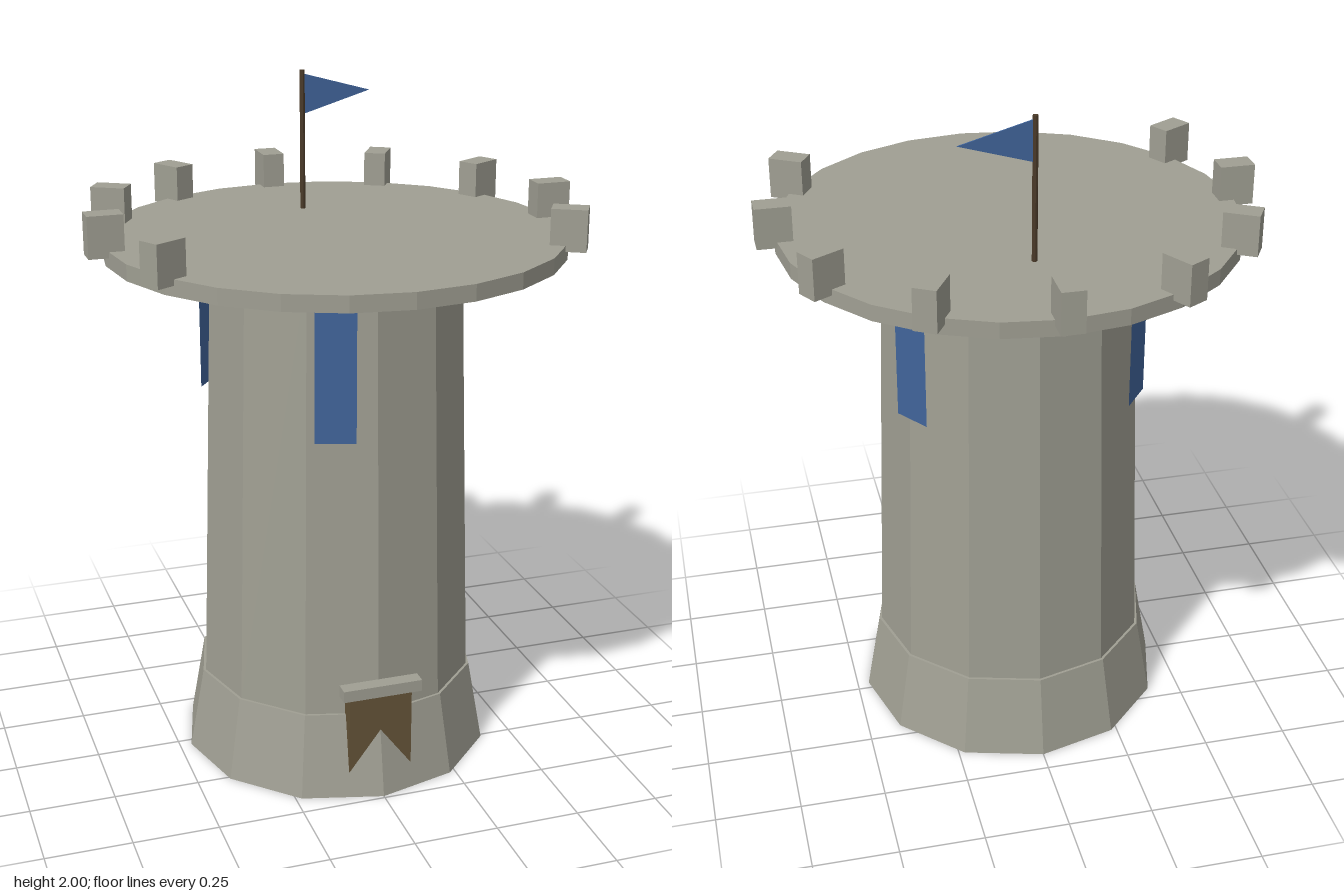
import * as THREE from 'three';

export function createModel() {
  const model = new THREE.Group();
  const mat = (name, color, extra = {}) => {
    const m = new THREE.MeshStandardMaterial({ color, flatShading: true, ...extra });
    m.name = name;
    return m;
  };
  const stone = mat('stone', 0xa09f93);
  const blue = mat('blue cloth', 0x41659b, { side: THREE.DoubleSide });
  const brown = mat('brown cloth', 0x645338);
  const wood = mat('dark wood', 0x4a3a28);

  const add = (parent, name, geometry, material, x, y, z) => {
    const mesh = new THREE.Mesh(geometry, material);
    mesh.name = name;
    mesh.position.set(x, y, z);
    parent.add(mesh);
    return mesh;
  };

  // Everything round shares one axis, set slightly forward
  const tower = new THREE.Group();
  tower.name = 'tower';
  tower.position.z = 0.027;
  model.add(tower);

  // Cylinder section between two heights
  const section = (name, rTop, rBottom, y0, y1, sides) =>
    add(tower, name, new THREE.CylinderGeometry(rTop, rBottom, y1 - y0, sides), stone, 0, (y0 + y1) / 2, 0);
  section('base', 0.42, 0.465, 0, 0.25, 12);
  section('shaft', 0.37, 0.412, 0.25, 1.55, 12);
  section('platform', 0.665, 0.665, 1.54, 1.587, 24);

  // Battlements every 30 degrees, left open at the front
  for (let i = 2; i <= 10; i++) {
    const a = (i * Math.PI) / 6;
    const r = 0.667;
    const block = add(tower, 'battlement', new THREE.BoxGeometry(0.066, 0.12, 0.102), stone,
      r * Math.sin(a), 1.63, r * Math.cos(a));
    block.rotation.y = a;
  }

  // Tall blue hangings around the shaft
  for (const degrees of [-17.8, 124.3, 232.6]) {
    const a = THREE.MathUtils.degToRad(degrees);
    const r = 0.403;
    const cloth = add(tower, 'hanging', new THREE.PlaneGeometry(0.115, 0.42), blue,
      r * Math.sin(a), 1.3, r * Math.cos(a));
    cloth.rotation.y = a;
  }

  // Swallow-tailed banner below a stone bar
  const tail = new THREE.Shape([
    [-0.095, 0.33], [-0.095, 0.077], [0, 0.203], [0.095, 0.077], [0.095, 0.33],
  ].map(([x, y]) => new THREE.Vector2(x, y)));
  add(model, 'banner', new THREE.ExtrudeGeometry(tail, { depth: 0.057, bevelEnabled: false }), brown, 0, 0, 0.4);
  add(model, 'bannerBar', new THREE.BoxGeometry(0.238, 0.035, 0.043), stone, 0, 0.338, 0.4555);

  // Flagpole and pennant
  add(model, 'flagpole', new THREE.CylinderGeometry(0.008, 0.008, 0.43, 8), wood, 0, 1.785, -0.28);
  const pennant = new THREE.Shape([
    new THREE.Vector2(0, 1.87), new THREE.Vector2(0.208, 1.932), new THREE.Vector2(0, 1.99),
  ]);
  add(model, 'pennant', new THREE.ExtrudeGeometry(pennant, { depth: 0.004, bevelEnabled: false }), blue, 0, 0, -0.282);

  return model;
}
